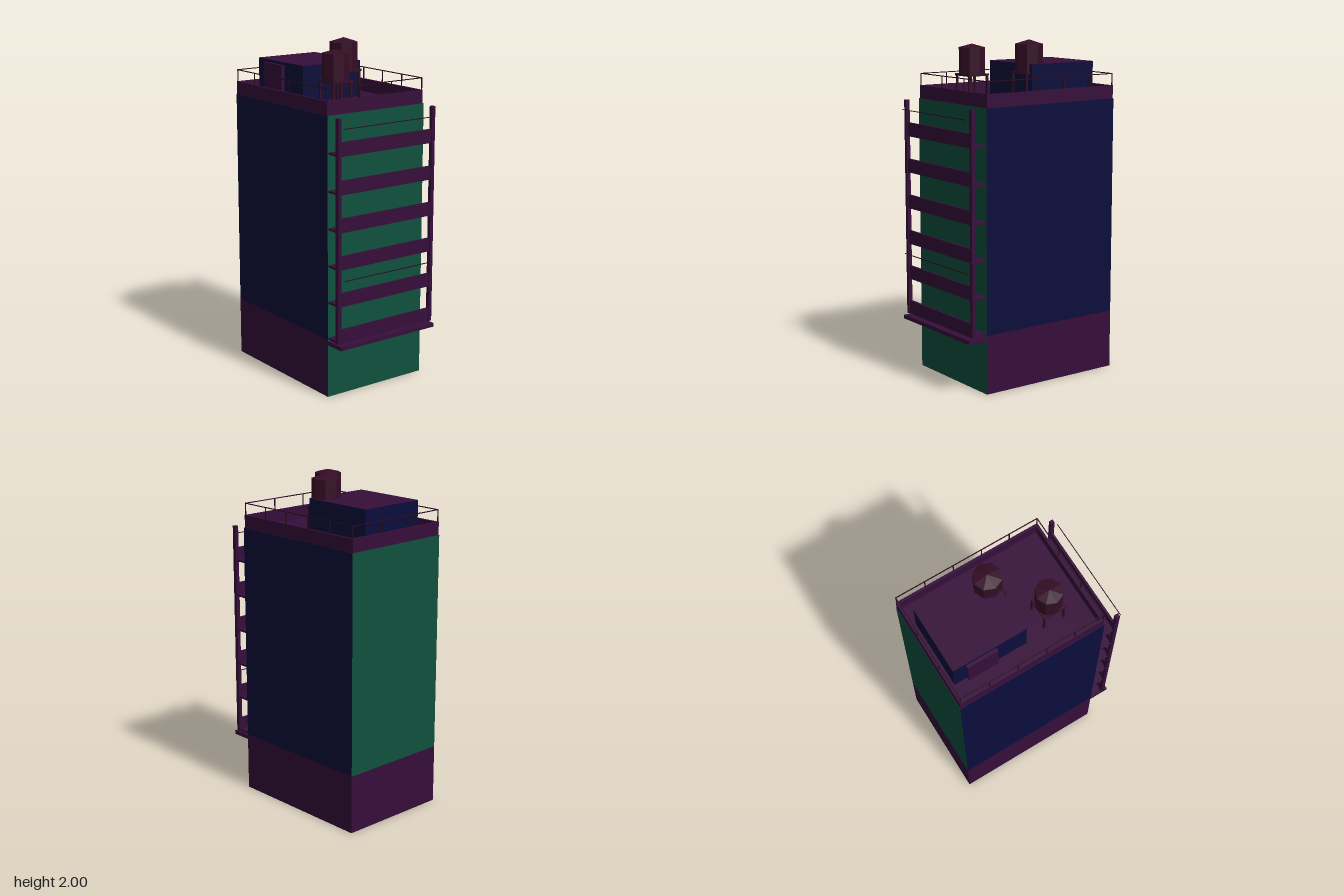
import * as THREE from 'three';

const mat = (name, color) => new THREE.MeshStandardMaterial({ name, color, side: THREE.DoubleSide });

export function createModel() {
  const model = new THREE.Group();
  model.name = 'apartmentTower';
  const purple = mat('purple concrete', 0x360e3a);
  const green = mat('green facade', 0x0f503c);
  const navy = mat('navy wall', 0x0b0d3b);
  const maroon = mat('maroon metal', 0x350d26);
  const dark = mat('dark rail', 0x2a0a1e);

  const add = (name, geo, material, x = 0, y = 0, z = 0, parent = model) => {
    const m = new THREE.Mesh(geo, material);
    m.name = name;
    m.position.set(x, y, z);
    parent.add(m);
    return m;
  };
  // box given by its limits on each axis
  const box = (name, material, x0, x1, y0, y1, z0, z1, parent) =>
    add(name, new THREE.BoxGeometry(x1 - x0, y1 - y0, z1 - z0), material,
      (x0 + x1) / 2, (y0 + y1) / 2, (z0 + z1) / 2, parent);

  // hollow body, open underneath
  const W = 0.345, Z0 = -0.523, Z1 = 0.4, BASE = 0.35, ROOF = 1.648;
  const depth = Z1 - Z0, zc = (Z0 + Z1) / 2;
  const wall = (name, material, width, y0, y1, x, z, turn) => {
    add(name, new THREE.PlaneGeometry(width, y1 - y0), material, x, (y0 + y1) / 2, z).rotation.y = turn;
  };
  wall('frontWall', green, 2 * W, 0, ROOF, 0, Z1, 0);
  wall('backWall', green, 2 * W, BASE, ROOF, 0, Z0, Math.PI);
  wall('backBase', purple, 2 * W, 0, BASE, 0, Z0, Math.PI);
  for (const s of [-1, 1]) {
    wall('sideWall', navy, depth, BASE, ROOF, s * W, zc, s * Math.PI / 2);
    wall('sideBase', purple, depth, 0, BASE, s * W, zc, s * Math.PI / 2);
  }
  add('roof', new THREE.PlaneGeometry(2 * W, depth), purple, 0, ROOF, zc).rotation.x = -Math.PI / 2;

  // parapet around the roof
  const P = 0.342, PZ0 = -0.52, PZ1 = 0.393, T = 0.015, PT = 1.725;
  for (const s of [-1, 1]) box('parapetSide', purple, s * P - (s > 0 ? T : 0), s * P + (s < 0 ? T : 0), ROOF, PT, PZ0, PZ1);
  box('parapetFront', purple, -P + T, P - T, ROOF, PT, PZ1 - T, PZ1);
  box('parapetBack', purple, -P + T, P - T, ROOF, PT, PZ0, PZ0 + T);

  // thin guard rail with posts
  const rail = new THREE.Group();
  rail.name = 'guardRail';
  model.add(rail);
  const R = 0.338, RZ0 = -0.515, RZ1 = 0.388, RT = 1.797, t = 0.0025;
  const post = (x, z) => box('railPost', dark, x - t, x + t, PT, RT, z - t, z + t, rail);
  for (const s of [-1, 1]) {
    box('railSide', dark, s * R - t, s * R + t, RT - 2 * t, RT, RZ0, RZ1, rail);
    for (let i = 0; i <= 5; i++) post(s * R, RZ0 + (RZ1 - RZ0) * i / 5);
  }
  for (const z of [RZ0, RZ1]) {
    box('railEnd', dark, -R, R, RT - 2 * t, RT, z - t, z + t, rail);
    for (const s of [-1, 1]) post(s * R / 3, z);
  }

  // rooftop stair house with its door
  const stair = add('stairHouse', new THREE.BoxGeometry(0.414, 1.862 - ROOF, 0.457),
    [navy, navy, purple, navy, navy, navy], -0.002, (1.862 + ROOF) / 2, -0.25);
  stair.castShadow = false;
  box('stairDoor', purple, -0.229, -0.209, ROOF, 1.845, -0.4, -0.21);

  // water tanks on legs
  const tank = (x, z, r, y0, y1, top) => {
    const g = new THREE.Group();
    g.name = 'waterTank';
    g.position.set(x, 0, z);
    model.add(g);
    const drum = new THREE.CylinderGeometry(r, r, y1 - y0, 8).toNonIndexed();
    drum.computeVertexNormals();
    add('tankDrum', drum, maroon, 0, (y0 + y1) / 2, 0, g);
    const lid = new THREE.ConeGeometry(r, top - y1, 8, 1, true).toNonIndexed();
    lid.computeVertexNormals();
    add('tankLid', lid, maroon, 0, (y1 + top) / 2, 0, g);
    const h = r * 0.92, k = r * 0.8;
    box('tankPlatform', maroon, -h, h, y0 - 0.012, y0, -h, h, g);
    for (const sx of [-1, 1]) for (const sz of [-1, 1])
      box('tankLeg', maroon, sx * k - 0.006, sx * k + 0.006, ROOF, y0 - 0.01, sz * k - 0.006, sz * k + 0.006, g);
  };
  tank(-0.12, 0.172, 0.078, 1.798, 1.952, 1.972);
  tank(0.118, -0.067, 0.083, 1.815, 1.974, 2.0);

  // balconies: canopy, corner columns, floors and fronts
  box('canopy', purple, -W, W, 0.318, 0.341, Z1, 0.525);
  for (const s of [-1, 1])
    box('balconyColumn', purple, s * 0.336 - 0.011, s * 0.336 + 0.011, BASE, 1.645, 0.477, 0.501);
  for (let i = 0; i < 6; i++) {
    const y = BASE + 0.2163 * i;
    box('balconyFloor', purple, -0.34, 0.34, y, y + 0.012, Z1, 0.482);
    box('balconyFront', purple, -0.328, 0.328, y, y + 0.081, 0.482, 0.495);
  }
  // washing lines
  for (const y of [0.725, 1.59])
    box('washingLine', dark, -0.327, 0.327, y - 0.002, y + 0.002, 0.521, 0.525);

  return model;
}
